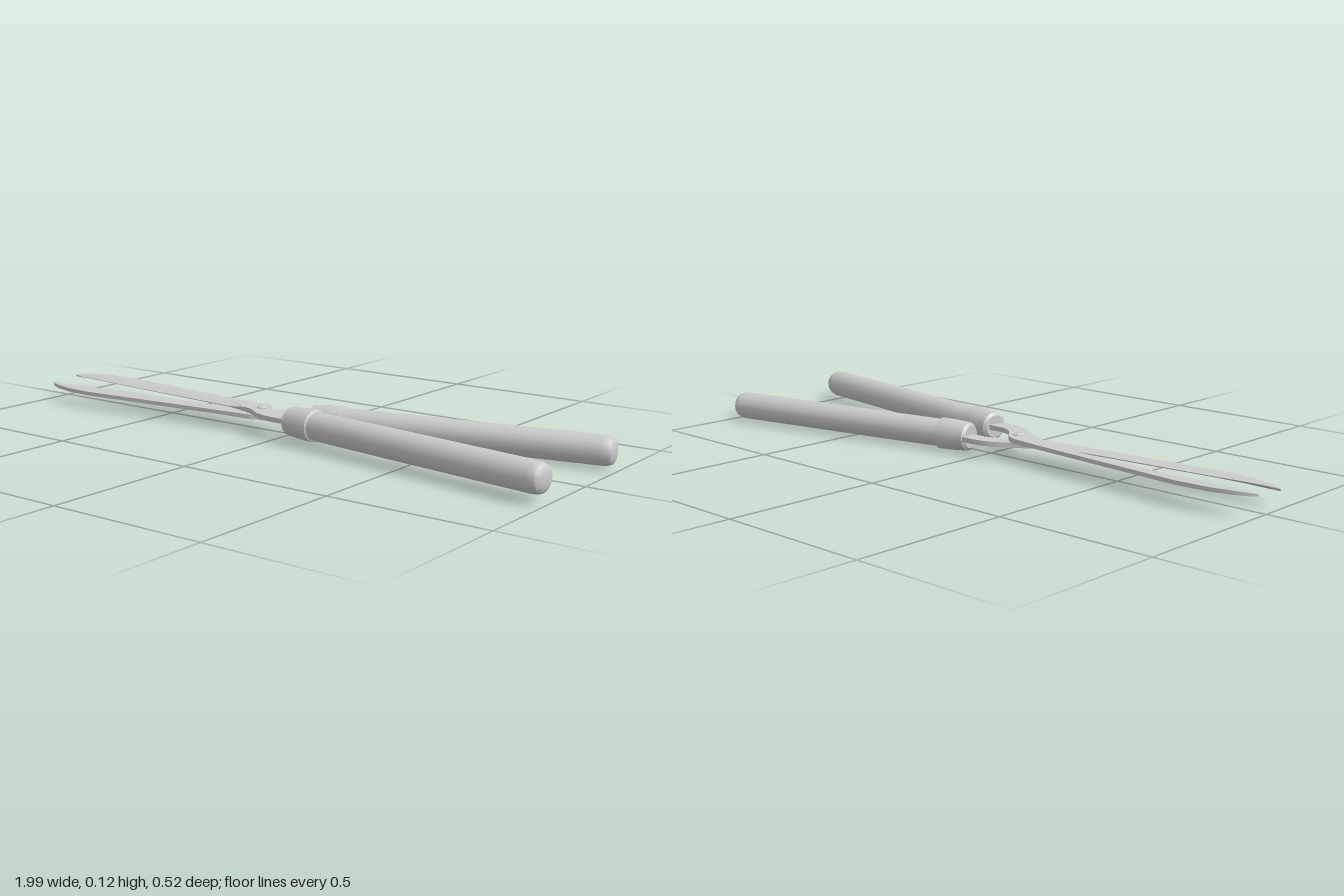
import * as THREE from 'three';
import { toCreasedNormals } from 'three/addons/utils/BufferGeometryUtils.js';

const material = new THREE.MeshStandardMaterial({ color: 0xcccccc });
const MID_Y = 0.0585;  // plane where the two halves slide on each other
const MID_Z = 0.0125;  // z of the pivot

// Stations from tip to tang: back x, z; cutting edge x, z; back and edge thickness
const STATIONS = [
  [-1.0, -0.055, -1.0, -0.053, 0.007, 0.003],
  [-0.975, -0.074, -0.97, -0.055, 0.01, 0.002],
  [-0.944, -0.087, -0.94, -0.055, 0.012, 0.002],
  [-0.88, -0.103, -0.88, -0.051, 0.013, 0.002],
  [-0.77, -0.109, -0.77, -0.04, 0.013, 0.002],
  [-0.66, -0.099, -0.66, -0.031, 0.013, 0.002],
  [-0.24, -0.06, -0.24, 0.002, 0.013, 0.003],
  [-0.13, -0.05, -0.155, 0.026, 0.015, 0.015],
  [-0.11, -0.043, -0.12, 0.04, 0.016, 0.016],
  [-0.088, -0.028, -0.088, 0.063, 0.016, 0.016],
  [-0.056, 0.009, -0.065, 0.076, 0.016, 0.016],
  [-0.03, 0.03, -0.035, 0.086, 0.016, 0.016],
  [0.0, 0.038, 0.0, 0.092, 0.016, 0.016],
  [0.075, 0.038, 0.07, 0.092, 0.016, 0.016],
];

// Loft of five-sided sections: flat underside, thick back, bevel to the edge
function bladeGeometry() {
  const pos = [], index = [], n = 5, last = (STATIONS.length - 1) * n;
  STATIONS.forEach(([xo, zo, xi, zi, t, e], i) => {
    const y0 = 0.0004, m = 0.5;
    pos.push(xo, y0, zo, xo, t, zo);
    pos.push(xo + (xi - xo) * m, t, zo + (zi - zo) * m);
    pos.push(xi, e, zi, xi, y0, zi);
    if (i === 0) return;
    for (let k = 0; k < n; k++) {
      const a = (i - 1) * n + k, b = (i - 1) * n + (k + 1) % n;
      index.push(a, b, b + n, a, b + n, a + n);
    }
  });
  for (let k = 1; k < n - 1; k++) {
    index.push(0, k + 1, k, last, last + k, last + k + 1);
  }
  const geo = new THREE.BufferGeometry();
  geo.setAttribute('position', new THREE.Float32BufferAttribute(pos, 3));
  geo.setIndex(index);
  return toCreasedNormals(geo, 0.35);
}

function lathe(points, sides) {
  const profile = points.map(([r, y]) => new THREE.Vector2(r, y));
  return toCreasedNormals(new THREE.LatheGeometry(profile, sides), 0.6);
}

function part(geometry, name) {
  const mesh = new THREE.Mesh(geometry, material);
  mesh.name = name;
  return mesh;
}

// One half: blade with curved tang, ferrule and grip
function half(name, startZ, angle) {
  const group = new THREE.Group();
  group.name = name;
  group.add(part(bladeGeometry(), 'bladeAndTang'));

  const handle = new THREE.Group();
  handle.name = 'handle';
  handle.add(part(lathe([
    [0, 0], [0.036, 0], [0.045, 0.008], [0.048, 0.05], [0.05, 0.1],
    [0.049, 0.109], [0.044, 0.112],
  ], 16), 'ferrule'));
  handle.add(part(lathe([
    [0.042, 0.1], [0.044, 0.13], [0.045, 0.4], [0.045, 0.915],
    [0.0435, 0.93], [0.039, 0.941], [0.03, 0.947], [0.015, 0.95], [0, 0.951],
  ], 16), 'grip'));
  handle.position.set(0.052, 0.0075, startZ);
  handle.rotation.set(0, -angle, -Math.PI / 2); // lathe axis laid along +x, splayed outward
  group.add(handle);
  return group;
}

export function createModel() {
  const model = new THREE.Group();
  model.name = 'gardenShears';

  // The lower half is the upper one turned over about the long axis
  const upper = half('upperHalf', 0.0625, 0.148);
  const lower = half('lowerHalf', 0.0495, 0.2);
  lower.rotation.x = Math.PI;
  for (const h of [upper, lower]) {
    h.position.set(0, MID_Y, MID_Z);
    model.add(h);
  }

  // Pivot bolt: domed head above, hex nut below
  const pivot = new THREE.Group();
  pivot.name = 'pivot';
  pivot.add(part(lathe([[0, -0.016], [0.019, -0.016], [0.019, 0.018], [0.014, 0.0215], [0, 0.0225]], 16), 'boltHead'));
  const nut = part(toCreasedNormals(new THREE.CylinderGeometry(0.019, 0.019, 0.007, 6), 0.5), 'nut');
  nut.position.y = -0.0185;
  pivot.add(nut);
  pivot.position.set(-0.105, MID_Y, MID_Z);
  model.add(pivot);

  return model;
}
